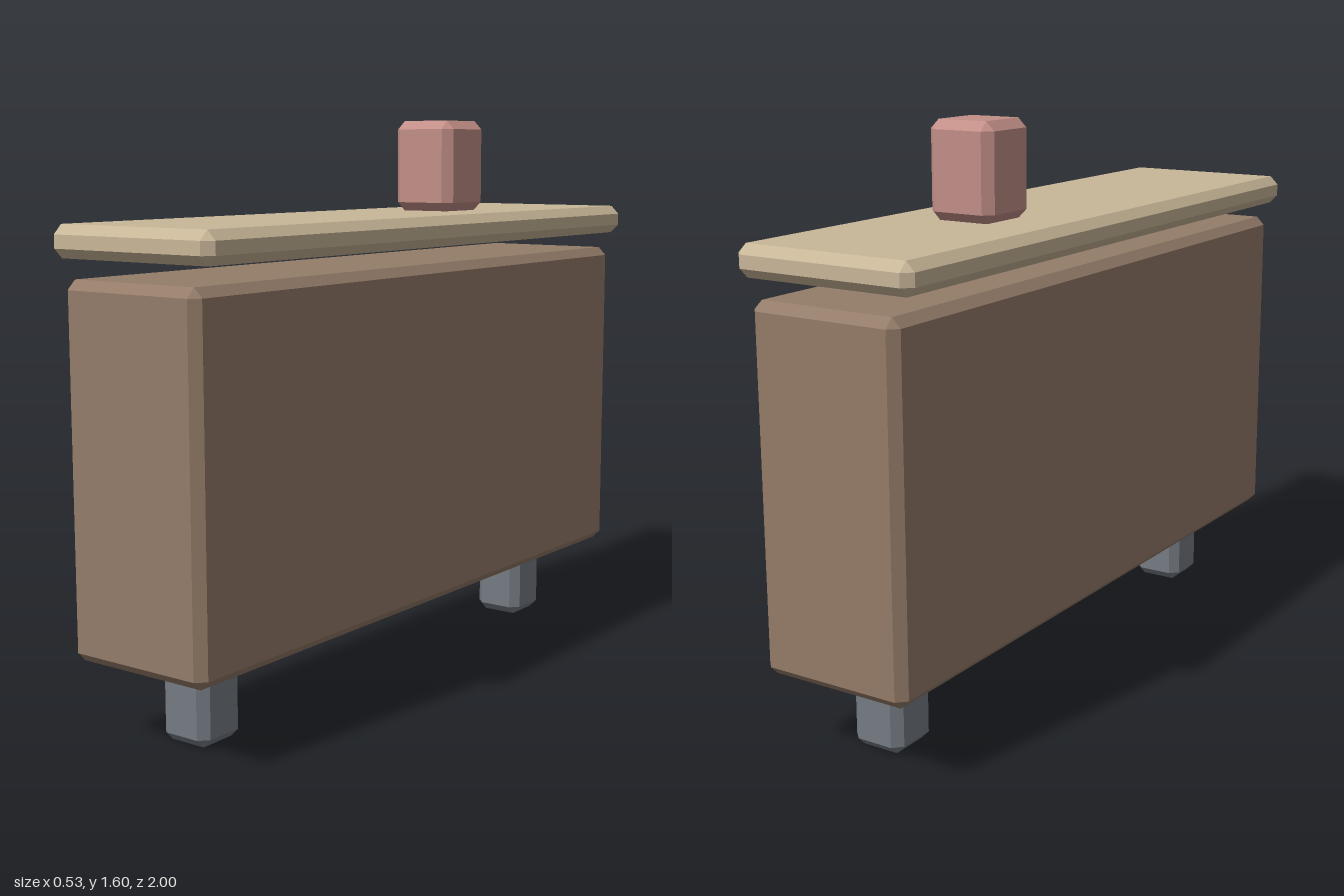
import * as THREE from 'three';
import { ConvexGeometry } from 'three/addons/geometries/ConvexGeometry.js';

// Box with flat chamfers on every edge, given by its full size and bevel width
function chamferedBox(w, h, d, bevel) {
  const half = [w / 2, h / 2, d / 2];
  const points = [];
  for (const sx of [-1, 1]) for (const sy of [-1, 1]) for (const sz of [-1, 1]) {
    const sign = [sx, sy, sz];
    // Each corner becomes three points, one on each adjoining face
    for (let face = 0; face < 3; face++) {
      const p = half.map((v, i) => sign[i] * (i === face ? v : v - bevel));
      points.push(new THREE.Vector3(...p));
    }
  }
  return new ConvexGeometry(points);
}

export function createModel() {
  const model = new THREE.Group();
  model.name = 'chest';

  const material = (color) => new THREE.MeshStandardMaterial({ color, flatShading: true });
  const wood = material(0x947c69);
  const paleWood = material(0xc8b698);
  const pink = material(0xc28f87);
  const metal = material(0x757b84);

  // Adds a chamfered block standing on height y0 and reaching y1
  function addBlock(name, mat, w, d, y0, y1, z = 0) {
    const mesh = new THREE.Mesh(chamferedBox(w, y1 - y0, d, 0.025), mat);
    mesh.name = name;
    mesh.position.set(0, (y0 + y1) / 2, z);
    model.add(mesh);
  }

  // Main body and the lid floating just above it
  addBlock('body', wood, 0.445, 2, 0.227, 1.2);
  addBlock('lid', paleWood, 0.533, 2, 1.25, 1.335);

  // Knob set towards the back of the lid
  addBlock('knob', pink, 0.2, 0.2, 1.335, 1.6, -0.333);

  // One foot near each end
  addBlock('frontFoot', metal, 0.156, 0.156, 0, 0.227, 0.758);
  addBlock('backFoot', metal, 0.156, 0.156, 0, 0.227, -0.758);

  return model;
}
